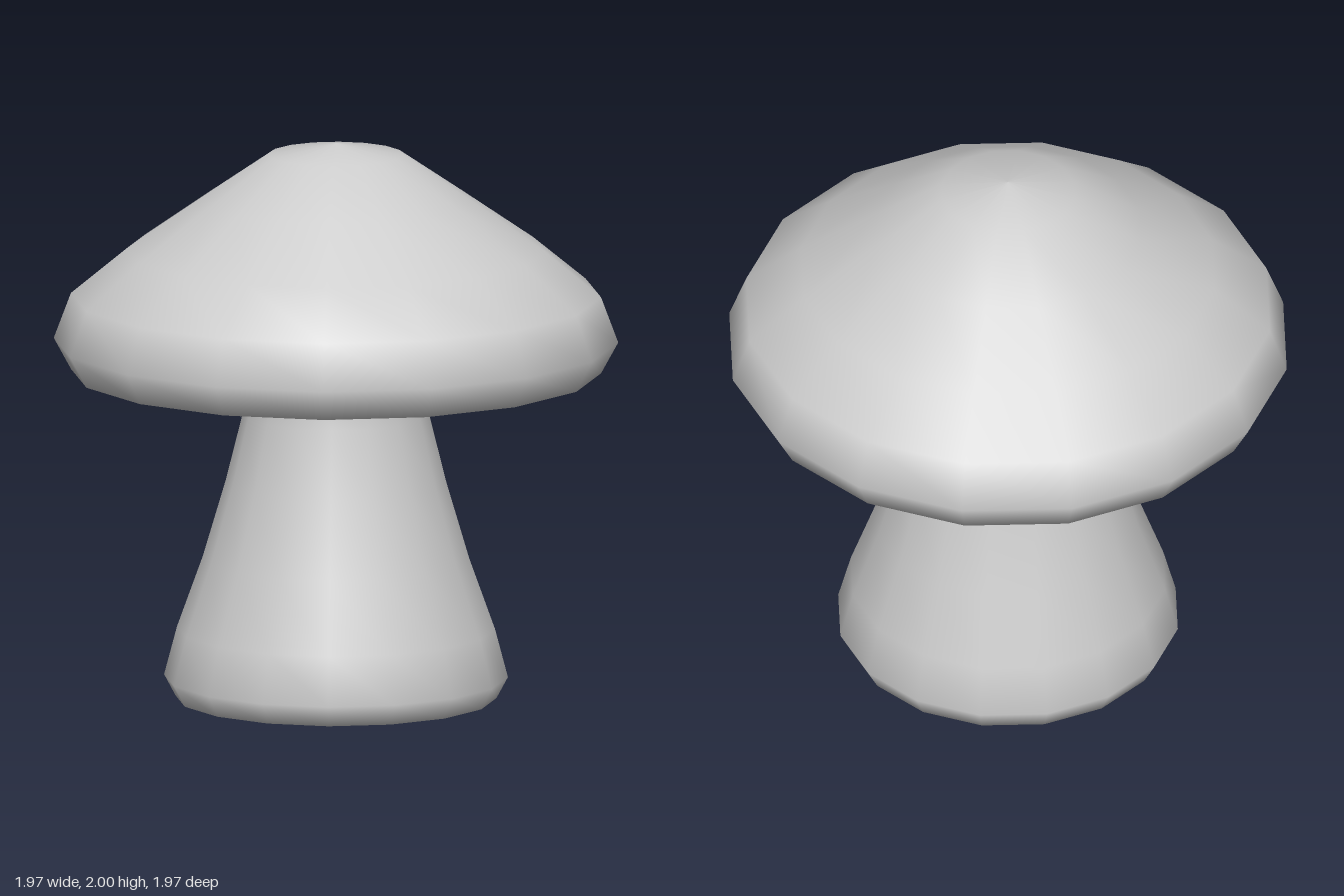
import * as THREE from 'three';

const SIDES = 16;

// Smooth turned part from [radius, height] pairs, listed bottom to top along the outside
function turned(name, profile, material) {
  const points = profile.map(([r, y]) => new THREE.Vector2(r, y));
  const mesh = new THREE.Mesh(new THREE.LatheGeometry(points, SIDES), material);
  mesh.name = name;
  return mesh;
}

export function createModel() {
  const group = new THREE.Group();
  group.name = 'mushroom';
  const material = new THREE.MeshStandardMaterial({ color: 0xcccccc, side: THREE.DoubleSide });

  // Stem: rounded foot, tapering up and flaring into the underside of the cap
  group.add(turned('stem', [
    [0, 0], [0.4, 0.01], [0.56, 0.035], [0.6, 0.11], [0.555, 0.28], [0.465, 0.53],
    [0.385, 0.8], [0.325, 1.04], [0.305, 1.19], [0.325, 1.225], [0.39, 1.25], [0.52, 1.24],
  ], material));

  // Cap: shallow underside, rounded rim and conical crown
  group.add(turned('cap', [
    [0.52, 1.24], [0.78, 1.22], [0.925, 1.19], [0.985, 1.3], [0.925, 1.46],
    [0.73, 1.62], [0.47, 1.8], [0.235, 1.96], [0, 2],
  ], material));

  return group;
}
